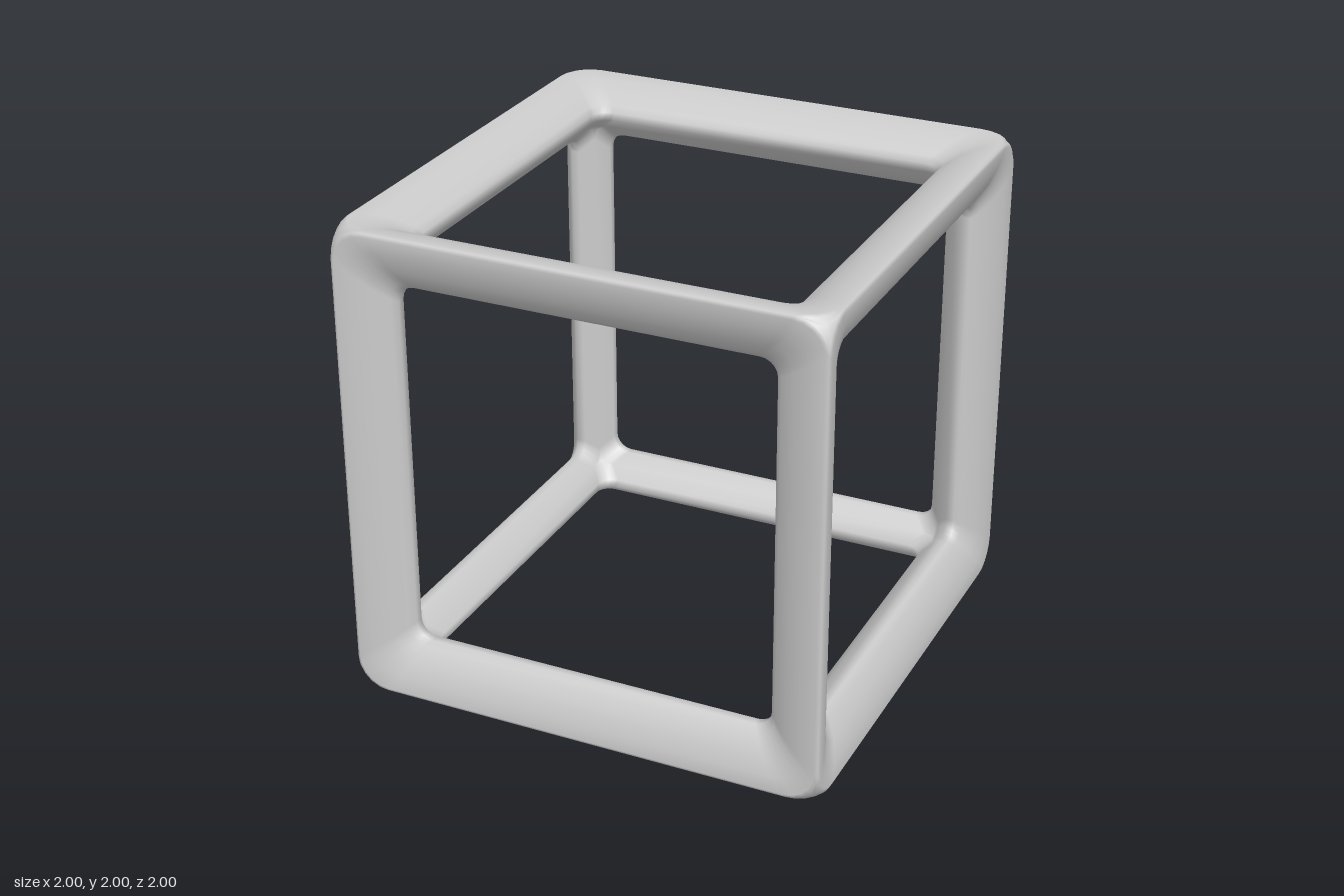
import * as THREE from 'three';
import { mergeGeometries, mergeVertices } from 'three/addons/utils/BufferGeometryUtils.js';

const ARC = 5; // segments in each rounded corner

// Bar side from outer ridge to inner ridge: [half size of loop, distance from centre, corner radius]
const PROFILE = [
  [0.993, 0.993, 0.13],
  [0.98, 1.0, 0.125],
  [0.92, 0.99, 0.11],
  [0.85, 0.965, 0.09],
  [0.79, 0.925, 0.075],
  [0.767, 0.9, 0.07],
  [0.767, 0.865, 0.07],
  [0.816, 0.816, 0.07],
];

// One rounded corner of a loop lying in a plane of constant z
function cornerArc([h, z, r]) {
  return Array.from({ length: ARC + 1 }, (_, i) => {
    const a = (i / ARC) * Math.PI / 2;
    return new THREE.Vector3(h - r + r * Math.cos(a), h - r + r * Math.sin(a), z);
  });
}

// Full rounded square, counterclockwise seen from +z
function squareLoop(row) {
  const pts = [];
  for (let k = 0; k < 4; k++) {
    const c = Math.round(Math.cos(k * Math.PI / 2)), s = Math.round(Math.sin(k * Math.PI / 2));
    for (const p of cornerArc(row)) pts.push(new THREE.Vector3(c * p.x - s * p.y, s * p.x + c * p.y, p.z));
  }
  return pts;
}

function fromTriangles(points) {
  return new THREE.BufferGeometry().setFromPoints(points);
}

// Sloping ring around one opening of the cube
function faceRing() {
  const loops = PROFILE.map(squareLoop);
  const tris = [];
  for (let j = 0; j < loops.length - 1; j++) {
    const n = loops[j].length;
    for (let i = 0; i < n; i++) {
      const k = (i + 1) % n;
      const a = loops[j][i], b = loops[j][k], c = loops[j + 1][k], d = loops[j + 1][i];
      tris.push(a, b, c, a, c, d);
    }
  }
  return fromTriangles(tris);
}

// Rounded cap where the ridges of three bars meet
function cornerCap(row, inward) {
  const [h, , r] = row;
  const k = h - r + r * Math.sqrt(2 / 3);
  const centre = new THREE.Vector3(k, k, k);
  let arc = cornerArc(row);
  const tris = [];
  for (let side = 0; side < 3; side++) {
    for (let i = 0; i < ARC; i++) {
      if (inward) tris.push(centre, arc[i], arc[i + 1]);
      else tris.push(centre, arc[i + 1], arc[i]);
    }
    arc = arc.map(p => new THREE.Vector3(p.y, p.z, p.x));
  }
  return fromTriangles(tris);
}

export function createModel() {
  const parts = [];
  const quarter = Math.PI / 2;

  // Six rings, one per side of the cube
  for (let k = 0; k < 4; k++) parts.push(faceRing().rotateY(k * quarter));
  for (const s of [-1, 1]) parts.push(faceRing().rotateX(s * quarter));

  // Outer and inner caps at the eight corners
  for (const flip of [0, Math.PI]) {
    for (let k = 0; k < 4; k++) {
      parts.push(cornerCap(PROFILE[0], false).rotateX(flip).rotateY(k * quarter));
      parts.push(cornerCap(PROFILE[PROFILE.length - 1], true).rotateX(flip).rotateY(k * quarter));
    }
  }

  // Weld into one smooth skin
  const skin = mergeVertices(mergeGeometries(parts), 1e-4);
  skin.computeVertexNormals();
  skin.translate(0, 1, 0);

  const frame = new THREE.Mesh(skin, new THREE.MeshStandardMaterial({ color: 0xcccccc }));
  frame.name = 'cubeFrame';
  const group = new THREE.Group();
  group.name = 'openCube';
  group.add(frame);
  return group;
}
